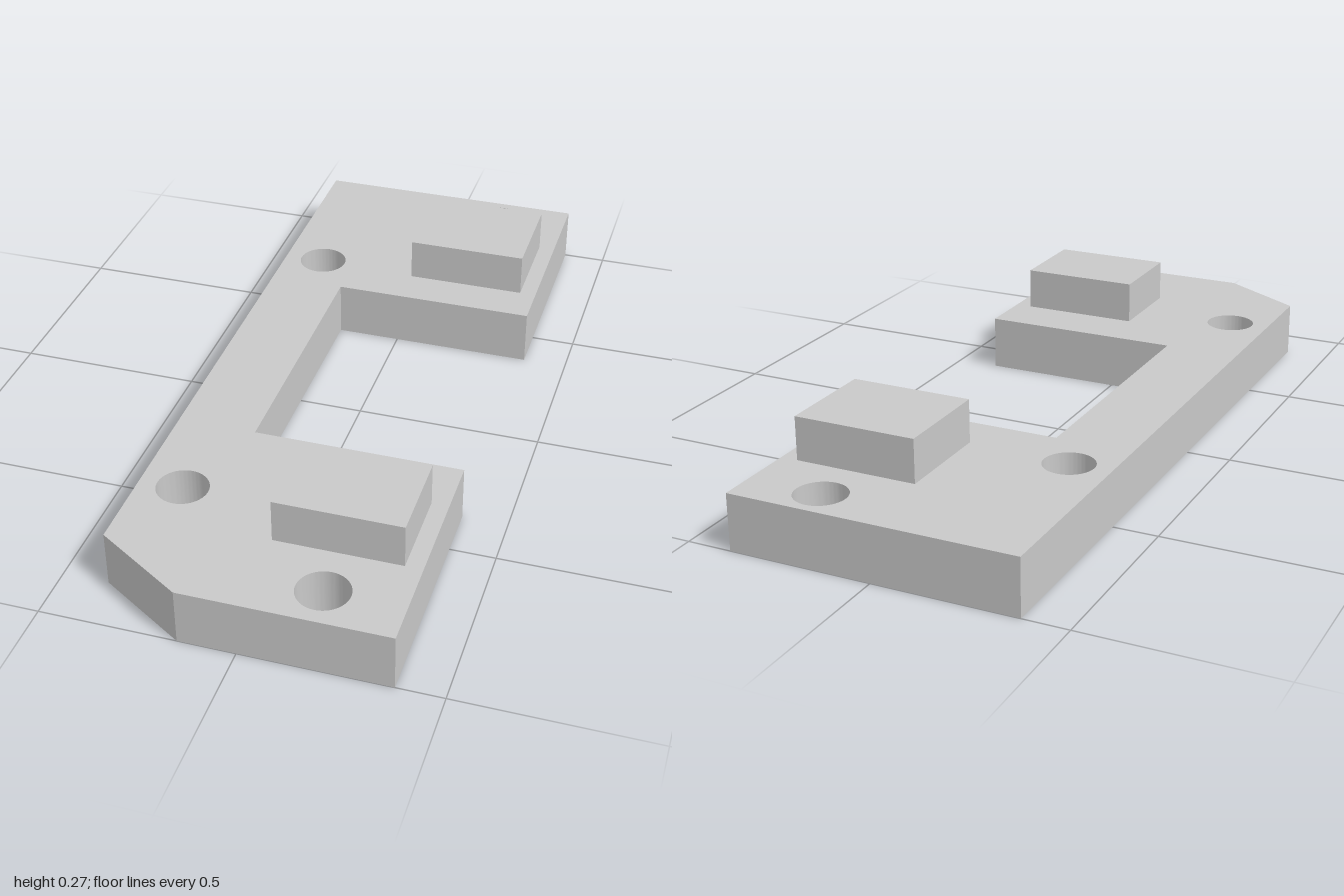
import * as THREE from 'three';
import { toCreasedNormals } from 'three/addons/utils/BufferGeometryUtils.js';

const PLATE_HEIGHT = 0.15;
const BLOCK_HEIGHT = 0.115;
const HOLE_RADIUS = 0.067;

export function createModel() {
  const model = new THREE.Group();
  model.name = 'bracket';
  const grey = new THREE.MeshStandardMaterial({ name: 'grey', color: 0xc9c9c9 });

  // C-shaped plate outline as (x, z), counter-clockwise from above, with one chamfered corner
  const outline = [
    [-0.381, 0.857], [-0.147, 1], [0.381, 1], [0.381, 0.367], [-0.173, 0.367],
    [-0.173, -0.378], [0.381, -0.378], [0.381, -1], [-0.381, -1],
  ];
  const shape = new THREE.Shape(outline.map(([x, z]) => new THREE.Vector2(x, -z)));

  // Through holes for screws, wound clockwise so their walls face inward
  for (const [x, z] of [[0.18, -0.909], [-0.268, -0.508], [-0.268, 0.632], [0.18, 0.896]]) {
    shape.holes.push(new THREE.Path().absarc(x, -z, HOLE_RADIUS, 0, Math.PI * 2, true));
  }

  const plateGeometry = new THREE.ExtrudeGeometry(shape, {
    depth: PLATE_HEIGHT, bevelEnabled: false, curveSegments: 40,
  });
  plateGeometry.rotateX(-Math.PI / 2);
  const plate = new THREE.Mesh(toCreasedNormals(plateGeometry, Math.PI / 7), grey);
  plate.name = 'plate';
  model.add(plate);

  // Raised blocks on the two arms
  const addBlock = (name, zMin, zMax) => {
    const block = new THREE.Mesh(new THREE.BoxGeometry(0.327, BLOCK_HEIGHT, zMax - zMin), grey);
    block.name = name;
    block.position.set(0.1725, PLATE_HEIGHT + BLOCK_HEIGHT / 2, (zMin + zMax) / 2);
    model.add(block);
  };
  addBlock('backBlock', -0.77, -0.495);
  addBlock('frontBlock', 0.516, 0.76);

  return model;
}
